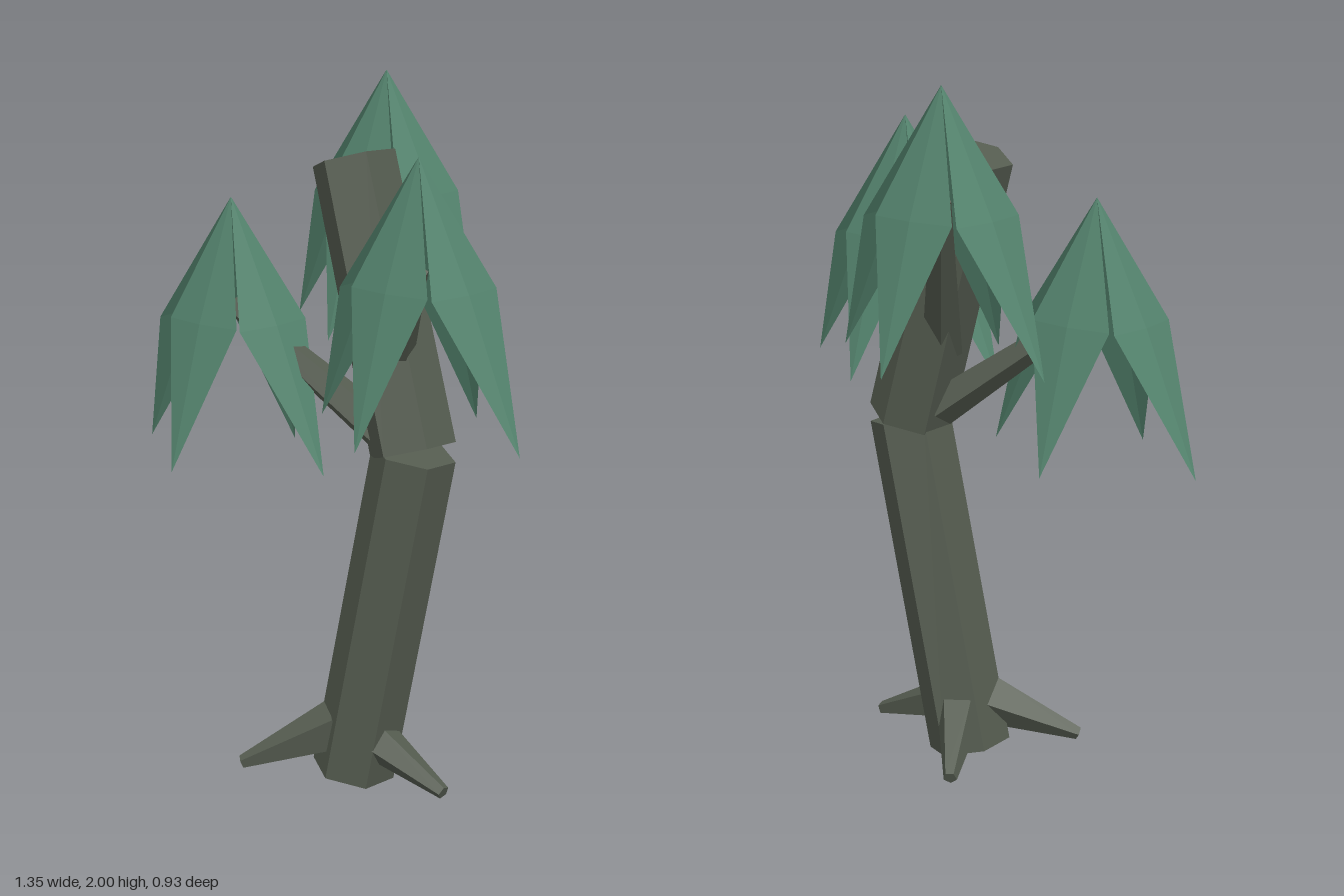
import * as THREE from 'three';

export function createModel() {
  const tree = new THREE.Group();
  tree.name = 'tree';

  const bark = new THREE.MeshStandardMaterial({ color: 0x555c50, flatShading: true });
  bark.name = 'bark';
  const foliage = new THREE.MeshStandardMaterial({ color: 0x55856f, flatShading: true, side: THREE.DoubleSide });
  foliage.name = 'foliage';

  // Tapered log running from one point to another
  const log = (name, from, to, r0, r1, sides) => {
    const a = new THREE.Vector3(...from), b = new THREE.Vector3(...to);
    const dir = b.clone().sub(a);
    const mesh = new THREE.Mesh(new THREE.CylinderGeometry(r1, r0, dir.length(), sides), bark);
    mesh.position.copy(a).add(b).multiplyScalar(0.5);
    mesh.quaternion.setFromUnitVectors(new THREE.Vector3(0, 1, 0), dir.normalize());
    mesh.name = name;
    tree.add(mesh);
  };

  // Two leaning trunk sections
  log('lowerTrunk', [0, 0.025, 0.08], [0.197, 1.0, 0.047], 0.12, 0.118, 6);
  log('upperTrunk', [0.192, 1.005, 0.045], [-0.048, 1.785, 0.02], 0.122, 0.118, 6);

  // Three roots
  log('leftRoot', [0.06, 0.15, 0.08], [0.34, 0.045, 0.08], 0.07, 0.02, 5);
  log('frontRoot', [-0.02, 0.165, 0.12], [-0.235, 0.045, 0.3], 0.08, 0.02, 5);
  log('backRoot', [-0.01, 0.15, 0.02], [-0.145, 0.045, -0.19], 0.07, 0.02, 5);

  // One drooping leaf: a diamond with a slightly raised middle, hanging towards +z
  const leaf = (midOut, tipOut) => {
    const w = 0.13, midY = -0.34, tipY = -0.74;
    const top = [0, 0, 0], left = [-w, midY, midOut], right = [w, midY, midOut];
    const tip = [0, tipY, tipOut], centre = [0, midY, midOut + 0.015];
    const tris = [top, left, centre, top, centre, right, left, tip, centre, centre, tip, right];
    const geo = new THREE.BufferGeometry();
    geo.setAttribute('position', new THREE.Float32BufferAttribute(tris.flat(), 3));
    geo.computeVertexNormals();
    return geo;
  };
  const shortLeaf = leaf(0.115, 0.248);
  const longLeaf = leaf(0.157, 0.345);

  // Branches, each carrying a tuft of four leaves
  const tufts = [
    { name: 'right', start: [0.1, 1.04, 0.06], apex: [-0.333, 1.67, 0.212] },
    { name: 'left', start: [0.11, 1.2, 0.05], apex: [0.331, 1.84, 0.19] },
    { name: 'back', start: [0.07, 1.22, 0.04], apex: [-0.138, 2.0, -0.217] },
  ];
  for (const { name, start, apex } of tufts) {
    const [x, y, z] = apex;
    log(name + 'Branch', start, [x, y - 0.3, z], 0.06, 0.028, 5);
    const tuft = new THREE.Group();
    tuft.name = name + 'Leaves';
    tuft.position.set(x, y, z);
    for (let i = 0; i < 4; i++) {
      const mesh = new THREE.Mesh(i % 2 ? longLeaf : shortLeaf, foliage);
      mesh.rotation.y = i * Math.PI / 2;
      mesh.name = 'leaf';
      tuft.add(mesh);
    }
    tree.add(tuft);
  }
  return tree;
}
